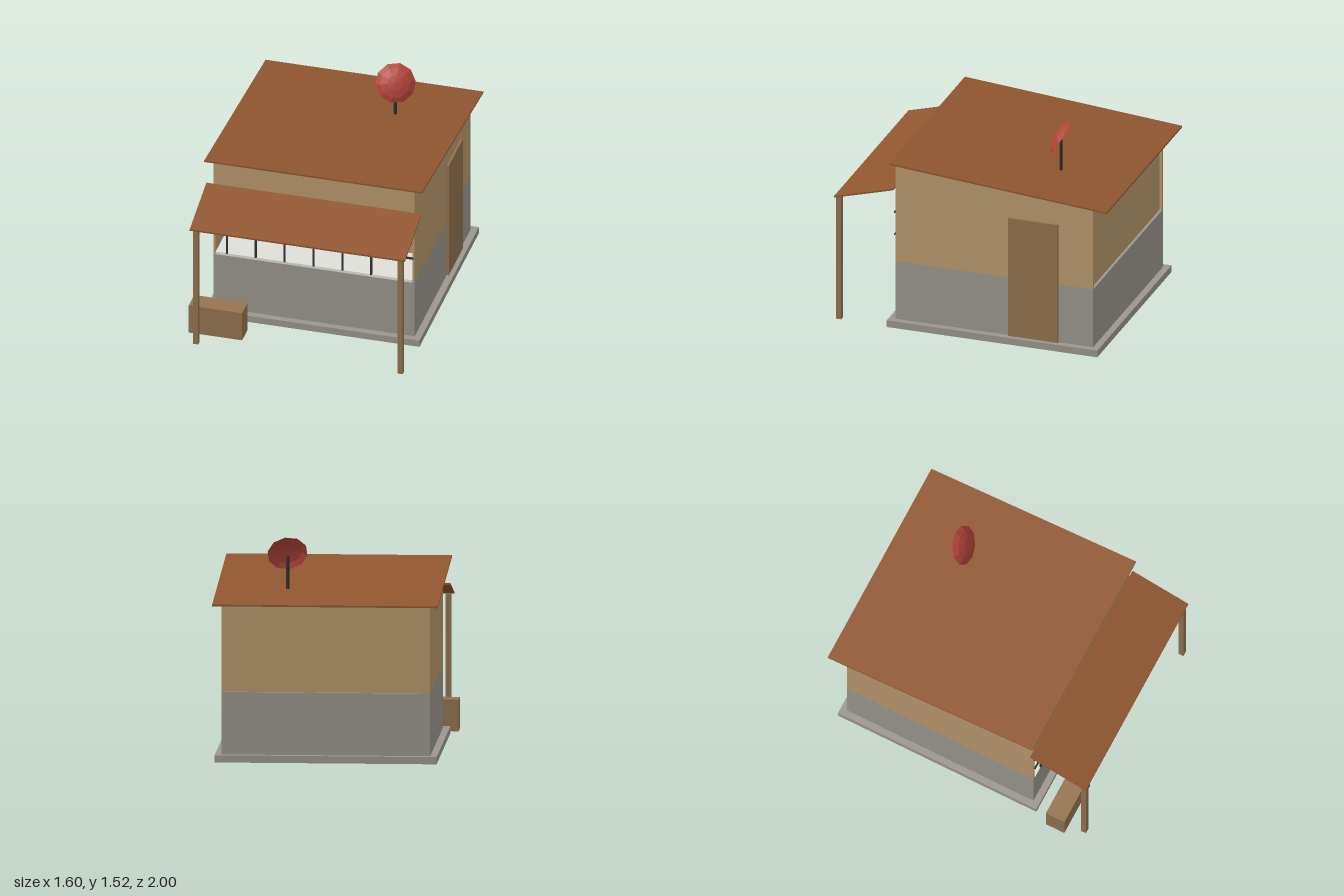
import * as THREE from 'three';

const mat = (name, color) => {
  const m = new THREE.MeshStandardMaterial({ color });
  m.name = name;
  return m;
};

export function createModel() {
  const model = new THREE.Group();
  model.name = 'kiosk';

  const plaster = mat('tan plaster', 0xb8996e);
  const concrete = mat('grey concrete', 0x9b968e);
  const rust = mat('rust brown sheet', 0x91562f);
  const wood = mat('wood', 0x94744f);
  const white = mat('off white', 0xdedfd8);
  const yellow = mat('yellow', 0xdcb238);
  const red = mat('red', 0xb24339);
  const iron = mat('dark iron', 0x2e3336);
  red.side = THREE.DoubleSide;

  const add = (name, geometry, material, parent = model) => {
    const mesh = new THREE.Mesh(geometry, material);
    mesh.name = name;
    parent.add(mesh);
    return mesh;
  };
  const group = (name) => {
    const g = new THREE.Group();
    g.name = name;
    model.add(g);
    return g;
  };
  // Box given by its limits on each axis
  const box = (name, material, [x0, x1], [y0, y1], [z0, z1], parent) => {
    const g = new THREE.BoxGeometry(x1 - x0, y1 - y0, z1 - z0);
    g.translate((x0 + x1) / 2, (y0 + y1) / 2, (z0 + z1) / 2);
    return add(name, g, material, parent);
  };
  // Side outline in (z, y) extruded along x
  const prism = (name, material, outline, x0, x1, parent) => {
    const shape = new THREE.Shape(outline.map(([z, y]) => new THREE.Vector2(z, y)));
    const g = new THREE.ExtrudeGeometry(shape, { depth: x1 - x0, bevelEnabled: false });
    g.rotateY(-Math.PI / 2).translate(x1, 0, 0);
    return add(name, g, material, parent);
  };

  const L = -0.703, R = 0.738, F = 0.567, B = -0.88, SILL = 0.485, T = 0.015;
  const roofUnder = (z) => 1.098 + (z + 1) * 0.0843;

  // Slab and lower walls
  box('baseSlab', concrete, [-0.75, 0.785], [0, 0.05], [-0.927, 0.614]);
  box('lowerWalls', concrete, [L, R], [0.05, SILL], [B, F]);

  // Upper walls following the roof slope
  const walls = group('upperWalls');
  const wall = (name, z0, z1, y0, x0, x1) =>
    prism(name, plaster, [[z0, y0], [z1, y0], [z1, roofUnder(z1)], [z0, roofUnder(z0)]], x0, x1, walls);
  wall('rightWall', B, F, SILL, L, L + T);
  wall('leftWall', B, F, SILL, R - T, R);
  wall('backWall', B + 0.02, B + 0.035, SILL, L + T, R - T);
  wall('frontHeader', F - T, F, 0.99, L + T, R - T);
  wall('displayWall', 0.215, 0.23, SILL, L + T, R - T);

  // Sloping roof
  prism('roof', rust, [
    [-1, roofUnder(-1)], [0.59, roofUnder(0.59)],
    [0.59, roofUnder(0.59) + 0.012], [-1, roofUnder(-1) + 0.012],
  ], -0.762, 0.797);

  // Awning on two posts
  prism('awning', rust, [[F, 1.04], [F, 1.052], [1, 0.932], [1, 0.92]].reverse(), -0.753, 0.787);
  for (const x of [-0.714, 0.75])
    box('awningPost', wood, [x - 0.019, x + 0.019], [0, 0.925], [0.953, 0.99]);

  // Counter and stocked shelves
  box('counter', white, [-0.685, 0.72], [SILL, 0.505], [0.23, 0.572]);
  const stock = [yellow, red, white, yellow, red, yellow];
  for (const y of [0.653, 0.822]) {
    const shelf = group('stockedShelf');
    box('shelf', wood, [-0.68, 0.715], [y, y + 0.013], [0.23, 0.36], shelf);
    stock.forEach((m, i) => {
      const x = -0.584 + i * 0.24;
      box('goodsBox', m, [x - 0.072, x + 0.072], [y + 0.013, y + 0.121], [0.24, 0.34], shelf);
    });
  }

  // Window grille
  const grille = group('windowGrille');
  for (let i = 0; i < 7; i++) {
    const x = -0.604 + i * 0.2065;
    box('uprightBar', iron, [x - 0.006, x + 0.006], [0.505, 0.99], [0.567, 0.579], grille);
  }
  for (const y of [0.683, 0.85])
    box('crossBar', iron, [-0.695, 0.73], [y - 0.006, y + 0.006], [0.567, 0.579], grille);

  // Side door and bench
  box('door', wood, [R - 0.005, R + 0.015], [0.05, 0.94], [-0.625, -0.263]);
  box('bench', wood, [-0.8, -0.417], [0, 0.22], [0.714, 0.857]);

  // Dish on a pole
  const pole = new THREE.CylinderGeometry(0.012, 0.012, 0.24, 8);
  add('dishPole', pole.translate(0.307, 1.26, -0.492), iron);
  const profile = [[0.141, 0], [0.105, 0.025], [0.055, 0.041], [0, 0.047]];
  const dome = new THREE.LatheGeometry(profile.map(([r, y]) => new THREE.Vector2(r, y)), 10)
    .toNonIndexed();
  dome.computeVertexNormals();
  const dish = add('dish', dome, red);
  dish.position.set(0.307, 1.4, -0.496);
  dish.quaternion.setFromUnitVectors(
    new THREE.Vector3(0, 1, 0), new THREE.Vector3(0.15, 0.5, 0.85).normalize());

  return model;
}
